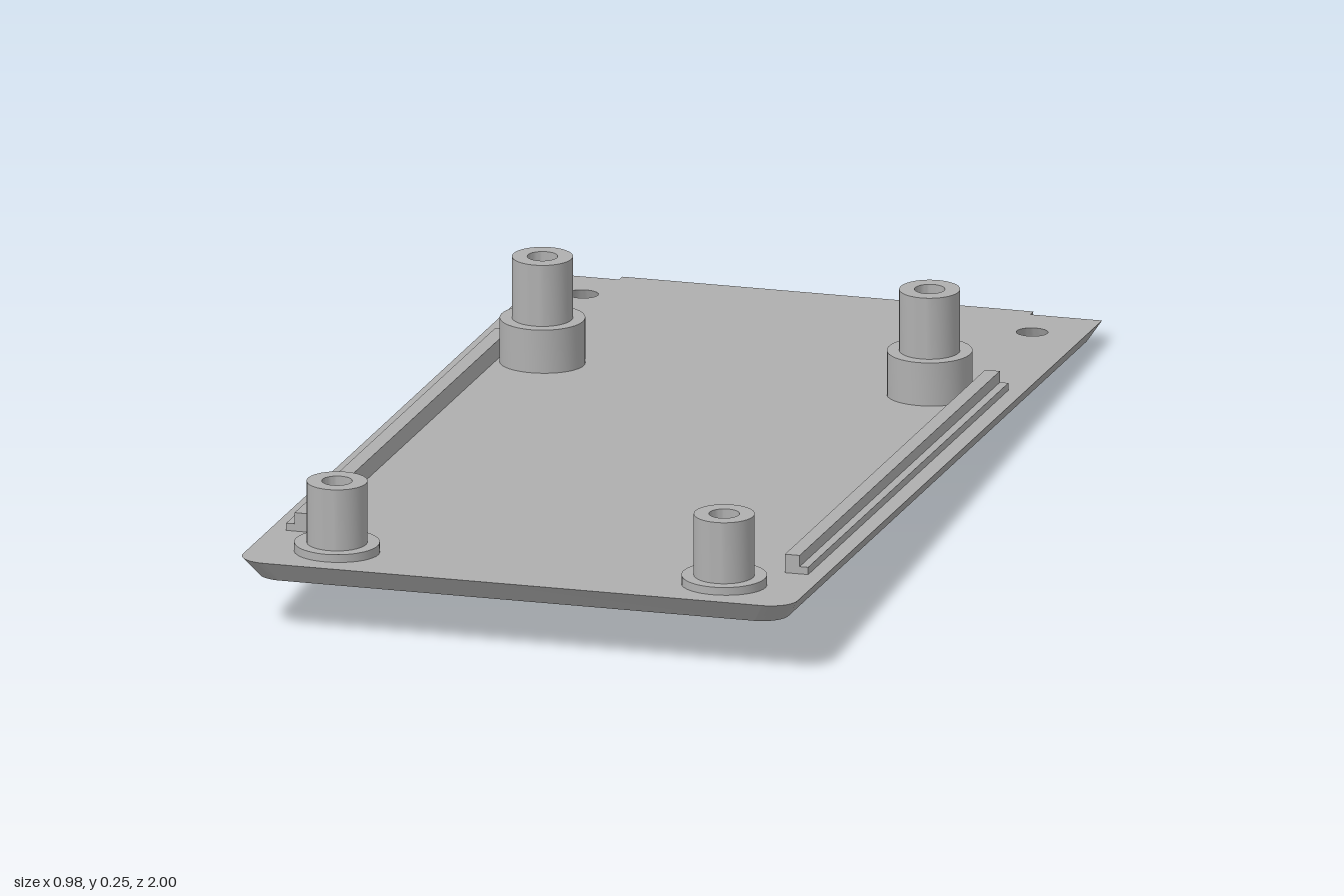
import * as THREE from 'three';
import { toCreasedNormals } from 'three/addons/utils/BufferGeometryUtils.js';

const SLOPE = 0.0485, THICK = 0.036;
const lift = z => SLOPE * (z + 0.967);      // height of the underside
const top = z => lift(z) + THICK;           // height of the upper face
const BORE = 0.042;

// Screw positions: r is the opening in the upper face of the plate
const holes = [];
for (const x of [-1, 1]) {
  holes.push({ x: 0.342 * x, z: 0.885, r: BORE, post: true });
  holes.push({ x: 0.342 * x, z: -0.418, r: BORE, post: true });
  holes.push({ x: 0.397 * x, z: -0.87, r: 0.027, post: false });
}

// Sloping plate with a chamfered rim, rear lip and countersunk holes
function plateGeometry() {
  const w = 0.49, c = 0.05, s = new THREE.Shape();
  s.moveTo(-w, 0.98);
  s.lineTo(-w, -1 + c);
  s.absarc(-w + c, -1 + c, c, Math.PI, Math.PI * 1.5, false);
  s.absarc(w - c, -1 + c, c, Math.PI * 1.5, Math.PI * 2, false);
  s.lineTo(w, 0.98);
  s.lineTo(0.363, 0.98);
  s.lineTo(0.363, 1);
  s.lineTo(-0.363, 1);
  s.lineTo(-0.363, 0.98);
  s.closePath();
  for (const h of holes) {
    s.holes.push(new THREE.Path().absarc(h.x, -h.z, h.r, 0, Math.PI * 2, true));
  }
  const g = new THREE.ExtrudeGeometry(s, { depth: THICK, bevelEnabled: false, curveSegments: 16 });
  g.rotateX(-Math.PI / 2);
  const p = g.attributes.position;
  for (let i = 0; i < p.count; i++) {
    let x = p.getX(i), y = p.getY(i), z = p.getZ(i);
    if (y < THICK / 2) {
      const h = holes.find(o => Math.hypot(x - o.x, z - o.z) < o.r + 0.002);
      if (h) {                              // widen the hole underneath
        x = h.x + (x - h.x) * BORE / h.r;
        z = h.z + (z - h.z) * BORE / h.r;
      } else {                              // draw the rim inward
        if (Math.abs(x) > 0.4) x *= 0.952;
        z = z < -0.97 ? -0.967 : z * 0.973;
      }
    }
    p.setXYZ(i, x, y + lift(z), z);
  }
  return toCreasedNormals(g, 0.6);
}

// Upright hollow post on a wider collar, with a stepped bore
function postGeometry(z) {
  const lo = top(z) - 0.01, ledge = Math.max(0.115, lo + 0.002);
  const profile = [
    [BORE, lo], [0.073, lo], [0.073, 0.143], [0.052, 0.143], [0.052, 0.252],
    [0.026, 0.252], [0.026, ledge], [BORE, ledge], [BORE, lo],
  ].map(([r, y]) => new THREE.Vector2(r, y));
  return toCreasedNormals(new THREE.LatheGeometry(profile, 40), 0.6);
}

// Stepped strip sheared to follow the plate
function stripGeometry(width, height) {
  const g = new THREE.BoxGeometry(width, height + 0.006, 1.27).toNonIndexed();
  g.translate(0, (height - 0.006) / 2, 0.145);
  const p = g.attributes.position;
  for (let i = 0; i < p.count; i++) p.setY(i, p.getY(i) + top(p.getZ(i)));
  g.computeVertexNormals();
  return g;
}

export function createModel() {
  const model = new THREE.Group();
  model.name = 'mountingCover';
  const grey = new THREE.MeshStandardMaterial({ color: 0xb0b0b0 });
  grey.name = 'grey';
  const add = (name, geometry, x = 0, z = 0) => {
    const m = new THREE.Mesh(geometry, grey);
    m.name = name;
    m.position.set(x, 0, z);
    model.add(m);
  };

  add('plate', plateGeometry());

  for (const h of holes.filter(o => o.post)) {
    const name = (h.z > 0 ? 'front' : 'rear') + (h.x > 0 ? 'Left' : 'Right') + 'Post';
    add(name, postGeometry(h.z), h.x, h.z);
  }

  // Side rails: tall inner strip and low outer step
  for (const s of [-1, 1]) {
    const side = s > 0 ? 'left' : 'right';
    add(side + 'RailRidge', stripGeometry(0.026, 0.033), s * 0.433);
    add(side + 'RailStep', stripGeometry(0.016, 0.013), s * 0.453);
  }
  return model;
}
